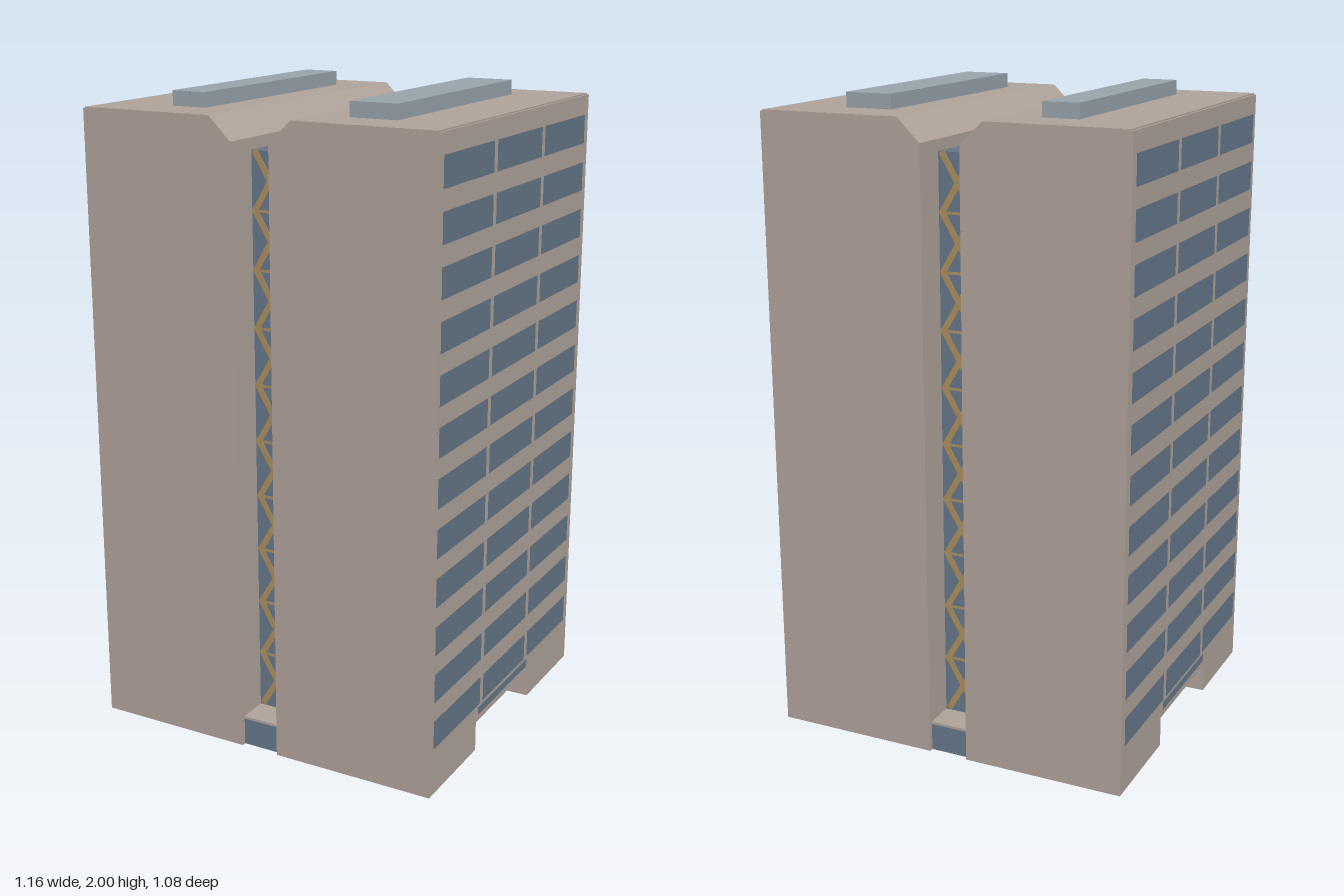
import * as THREE from 'three';

const material = (name, color, side = THREE.FrontSide) => {
  const m = new THREE.MeshStandardMaterial({ color, side });
  m.name = name;
  return m;
};

// Open folded sheet: a polyline in x and y carried along z, centred on z = 0
const foldedSheet = (points, depth) => {
  const positions = [];
  const h = depth / 2;
  for (let i = 0; i < points.length - 1; i++) {
    const [ax, ay] = points[i], [bx, by] = points[i + 1];
    positions.push(ax, ay, -h, ax, ay, h, bx, by, h, ax, ay, -h, bx, by, h, bx, by, -h);
  }
  const geometry = new THREE.BufferGeometry();
  geometry.setAttribute('position', new THREE.Float32BufferAttribute(positions, 3));
  geometry.computeVertexNormals();
  return geometry;
};

const flatShape = (points) =>
  new THREE.ShapeGeometry(new THREE.Shape(points.map(([x, y]) => new THREE.Vector2(x, y))));

export function createModel() {
  const stone = material('stone', 0xb0a49b, THREE.DoubleSide);
  const glass = material('blueGlass', 0x65778a);
  const metal = material('roofMetal', 0x99a4ac);
  const bronze = material('bronze', 0xad8f5e);

  const model = new THREE.Group();
  model.name = 'twinTowerBuilding';

  const add = (name, geometry, mat, x, y, z, parent = model) => {
    const mesh = new THREE.Mesh(geometry, mat);
    mesh.position.set(x, y, z);
    mesh.name = name;
    parent.add(mesh);
    return mesh;
  };

  // Box given by its limits on each axis
  const box = (name, mat, x0, x1, y0, y1, z0, z1, parent = model) =>
    add(name, new THREE.BoxGeometry(Math.abs(x1 - x0), y1 - y0, z1 - z0), mat,
      (x0 + x1) / 2, (y0 + y1) / 2, (z0 + z1) / 2, parent);

  const DEPTH = 0.54, ROOF = 1.955, PASSAGE = 0.095, OUTER = 0.58;
  const LEFT = 0.055, RIGHT = -0.07;
  const passage = [[-0.2, 0], [-0.2, PASSAGE], [0.213, PASSAGE], [0.213, 0]];

  // One hollow tower, open underneath: s is its side, inner the x of the gap wall
  const tower = (name, s, inner) => {
    const group = new THREE.Group();
    group.name = name;
    model.add(group);
    const outer = s * OUTER;

    // Roof with a small step outside and a chamfer towards the gap
    const roofLine = [
      [outer, ROOF - 0.004], [outer - s * 0.007, ROOF - 0.004], [outer - s * 0.007, ROOF],
      [inner + s * 0.071, ROOF], [inner, ROOF - 0.07],
    ];
    add('roof', foldedSheet(roofLine, 2 * DEPTH), stone, 0, 0, 0, group);
    for (const z of [DEPTH, -DEPTH]) {
      add('endWall', flatShape([[inner, 0], [outer, 0], ...roofLine]), stone, 0, 0, z, group);
    }

    // Side walls cut out for the passage
    for (const [wall, x, top] of [['outerWall', outer, ROOF - 0.004], ['gapWall', inner, ROOF - 0.07]]) {
      const outline = [[-DEPTH, 0], ...passage, [DEPTH, 0], [DEPTH, top], [-DEPTH, top]];
      add(wall, flatShape(outline).rotateY(-Math.PI / 2), stone, x, 0, 0, group);
    }

    // Walls and ceiling of the passage
    const lining = foldedSheet(passage, Math.abs(outer - inner)).rotateY(-Math.PI / 2);
    add('passageLining', lining, stone, (outer + inner) / 2, 0, 0, group);

    // Window bands on the outer wall
    const face = s * (OUTER + 0.0008);
    const pane = (paneName, y, z, height, width) => add(paneName,
      new THREE.PlaneGeometry(width, height).rotateY(s * Math.PI / 2), glass, face, y, z, group);
    for (let row = 0; row < 12; row++) {
      for (const z of [-0.347, 0.003, 0.353]) pane('window', 0.195 + row * 0.15, z, 0.09, 0.328);
    }
    pane('entranceWindow', 0.1275, 0.0075, 0.025, 0.385);
  };
  tower('leftTower', 1, LEFT);
  tower('rightTower', -1, RIGHT);

  // Rooftop units
  box('leftRoofUnit', metal, 0.23, 0.38, ROOF, 2, -0.387, 0.393);
  box('rightRoofUnit', metal, -0.363, -0.25, ROOF, 2, -0.387, 0.393);

  // Glass roof over the gap
  box('gapRoof', glass, RIGHT, LEFT, 1.842, 1.85, -0.43, 0.43);

  // Curtain wall, cross bracing and lobby, front and back
  const BAYS = 10, BAY = 0.175, mid = (LEFT + RIGHT) / 2, span = LEFT - RIGHT - 0.022;
  const barLength = Math.hypot(span, BAY);
  const angle = Math.atan2(BAY, span);
  for (const s of [1, -1]) {
    const end = new THREE.Group();
    end.name = s > 0 ? 'frontGapEnd' : 'backGapEnd';
    model.add(end);
    const slab = (name, mat, y0, y1, z, thickness) =>
      box(name, mat, RIGHT, LEFT, y0, y1, s * z - thickness / 2, s * z + thickness / 2, end);
    slab('curtainWall', glass, PASSAGE, 1.842, 0.426, 0.008);
    slab('lobbyRoof', stone, 0.087, PASSAGE, 0.4745, 0.105);
    slab('lobbyGlass', glass, 0, 0.087, 0.522, 0.008);
    for (let i = 0; i < BAYS; i++) {
      const y = 0.1 + i * BAY;
      for (const turn of [1, -1]) {
        const bar = add('diagonalBar', new THREE.BoxGeometry(barLength, 0.019, 0.002), bronze,
          mid, y + BAY / 2, s * 0.4305, end);
        bar.rotation.z = turn * angle;
      }
      if (i > 0) slab('crossBar', bronze, y - 0.004, y + 0.004, 0.4305, 0.0015);
    }
  }
  return model;
}
